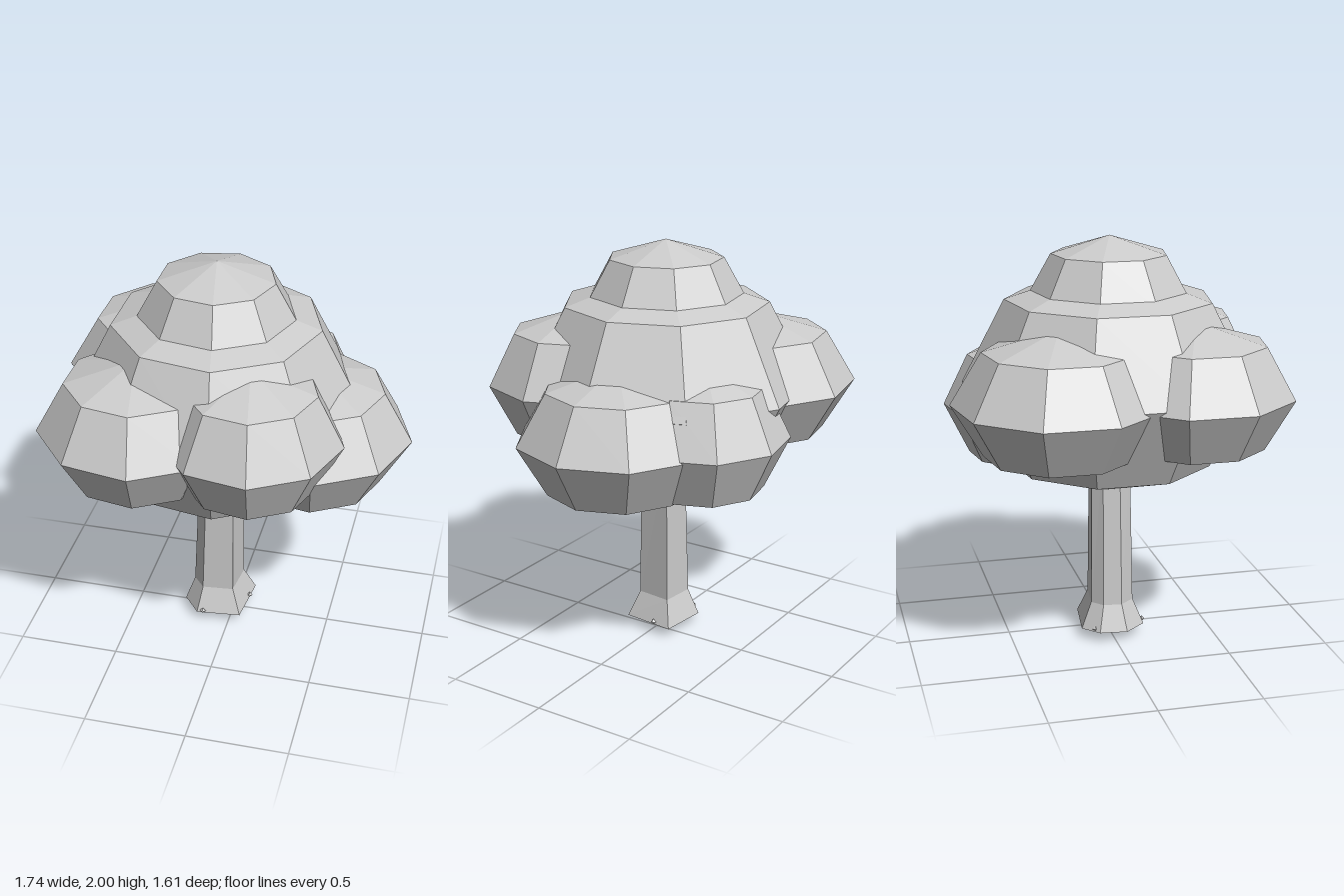
import * as THREE from 'three';

const material = new THREE.MeshStandardMaterial({ color: 0xcccccc, flatShading: true });

// Faceted leaf clump: nine sides, with a corner pointing to +x
function clump(name, x, y, z, radius, halfHeight) {
  const mesh = new THREE.Mesh(new THREE.SphereGeometry(1, 9, 4), material);
  mesh.name = name;
  mesh.position.set(x, y, z);
  mesh.scale.set(radius, halfHeight, radius);
  mesh.rotation.y = Math.PI;
  return mesh;
}

// Skin a stack of outlines; a one-point ring closes an end
function skin(rings) {
  const pos = [], n = Math.max(...rings.map((r) => r.length));
  const at = (r, i) => r[i % r.length];
  for (let k = 0; k < rings.length - 1; k++) {
    const lo = rings[k], hi = rings[k + 1];
    for (let i = 0; i < n; i++) {
      const a = at(lo, i), b = at(lo, i + 1), c = at(hi, i + 1), d = at(hi, i);
      if (lo.length > 1) pos.push(...a, ...b, ...c);
      if (hi.length > 1) pos.push(...a, ...c, ...d);
    }
  }
  const geo = new THREE.BufferGeometry();
  geo.setAttribute('position', new THREE.Float32BufferAttribute(pos, 3));
  geo.computeVertexNormals();
  return geo;
}

export function createModel() {
  const tree = new THREE.Group();
  tree.name = 'tree';

  // Trunk: uneven six-sided outline, flared foot with a pointed underside
  const outline = [[0.095, 0.09], [0.115, -0.085], [-0.055, -0.105],
    [-0.11, -0.055], [-0.12, 0.035], [-0.06, 0.105]];
  const ring = (y, sx, sz, cx) => outline.map(([x, z]) => [cx + x * sx, y, z * sz]);
  const trunk = new THREE.Mesh(skin([
    [[-0.08, 0, 0]],
    ring(0.05, 1.43, 1.5, -0.075),
    ring(0.18, 1, 1, -0.08),
    ring(0.95, 0.83, 0.9, -0.065),
    [[-0.065, 0.95, 0]],
  ]), material);
  trunk.name = 'trunk';
  tree.add(trunk);

  // Tiny nubs on the foot
  for (const [x, z] of [[-0.13, 0.155], [0.078, -0.03], [-0.2, -0.1]]) {
    const nub = new THREE.Mesh(new THREE.OctahedronGeometry(0.016), material);
    nub.name = 'rootNub';
    nub.position.set(x, 0.063, z);
    tree.add(nub);
  }

  // Foliage
  const foliage = new THREE.Group();
  foliage.name = 'foliage';
  foliage.add(
    clump('mainCrown', -0.08, 1.305, 0, 0.707, 0.56),
    clump('topCrown', -0.08, 1.71, 0, 0.393, 0.29),
    clump('frontRightClump', -0.38, 1.285, 0.34, 0.475, 0.345),
    clump('backRightClump', -0.4, 1.285, -0.31, 0.503, 0.345),
    clump('frontLeftClump', 0.162, 1.31, 0.355, 0.437, 0.355),
    clump('leftClump', 0.38, 1.14, -0.03, 0.487, 0.35),
    clump('backLeftClump', 0.16, 1.15, -0.36, 0.41, 0.35),
  );
  tree.add(foliage);
  return tree;
}
